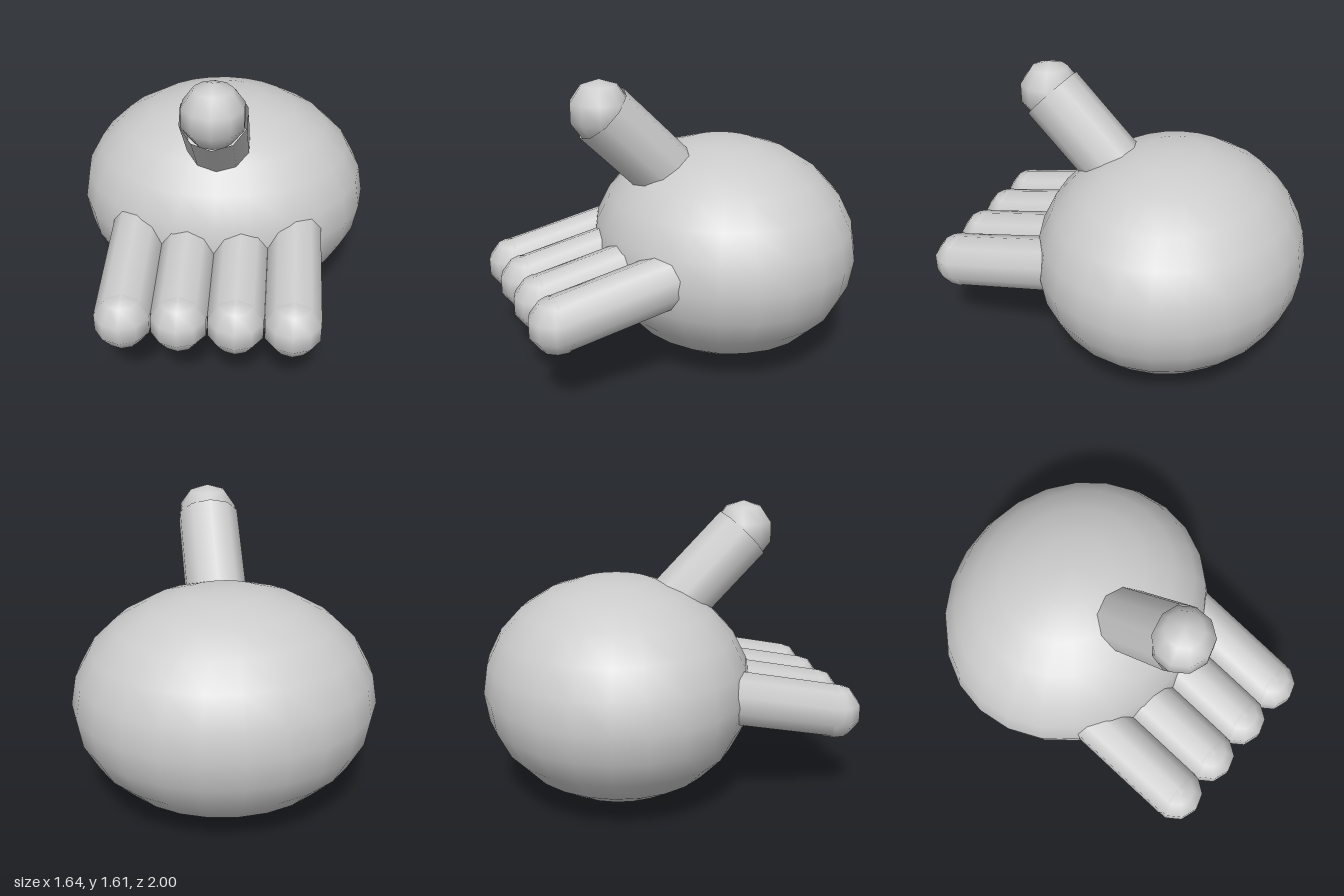
import * as THREE from 'three';

const material = new THREE.MeshStandardMaterial({ color: 0xcccccc, side: THREE.DoubleSide });

function addMesh(parent, name, geometry, position) {
  const mesh = new THREE.Mesh(geometry, material);
  mesh.name = name;
  mesh.position.copy(position);
  parent.add(mesh);
  return mesh;
}

// A digit: an open ten-sided tube from its root inside the palm, closed by a ball tip
function addDigit(parent, name, root, end, radius, tip, tipRadius) {
  const digit = new THREE.Group();
  digit.name = name;
  const axis = end.clone().sub(root);
  const tube = addMesh(digit, name + 'Tube',
    new THREE.CylinderGeometry(radius, radius, axis.length(), 10, 1, true),
    root.clone().add(end).multiplyScalar(0.5));
  tube.rotation.x = Math.atan2(axis.z, axis.y);
  const ball = new THREE.SphereGeometry(tipRadius, 10, 5).rotateY(Math.PI / 2);
  addMesh(digit, name + 'Tip', ball, tip);
  parent.add(digit);
}

export function createModel() {
  const group = new THREE.Group();
  group.name = 'hand';
  const v = (x, y, z) => new THREE.Vector3(x, y, z);

  // Egg-shaped palm
  const palm = new THREE.SphereGeometry(1, 24, 12).scale(0.818, 0.614, 0.735);
  addMesh(group, 'palm', palm, v(0, 0.616, -0.265));

  // Four fingers sloping gently down to the front
  [-0.423, -0.141, 0.141, 0.423].forEach((x, i) => {
    addDigit(group, 'finger' + (i + 1), v(x, 0.635, 0.24), v(x, 0.503, 0.86), 0.148,
      v(x, 0.503, 0.855), 0.152);
  });

  // Thumb rising forward at 45 degrees
  addDigit(group, 'thumb', v(0, 0.89, -0.1), v(0, 1.435, 0.445), 0.173,
    v(0, 1.447, 0.455), 0.168);

  return group;
}
